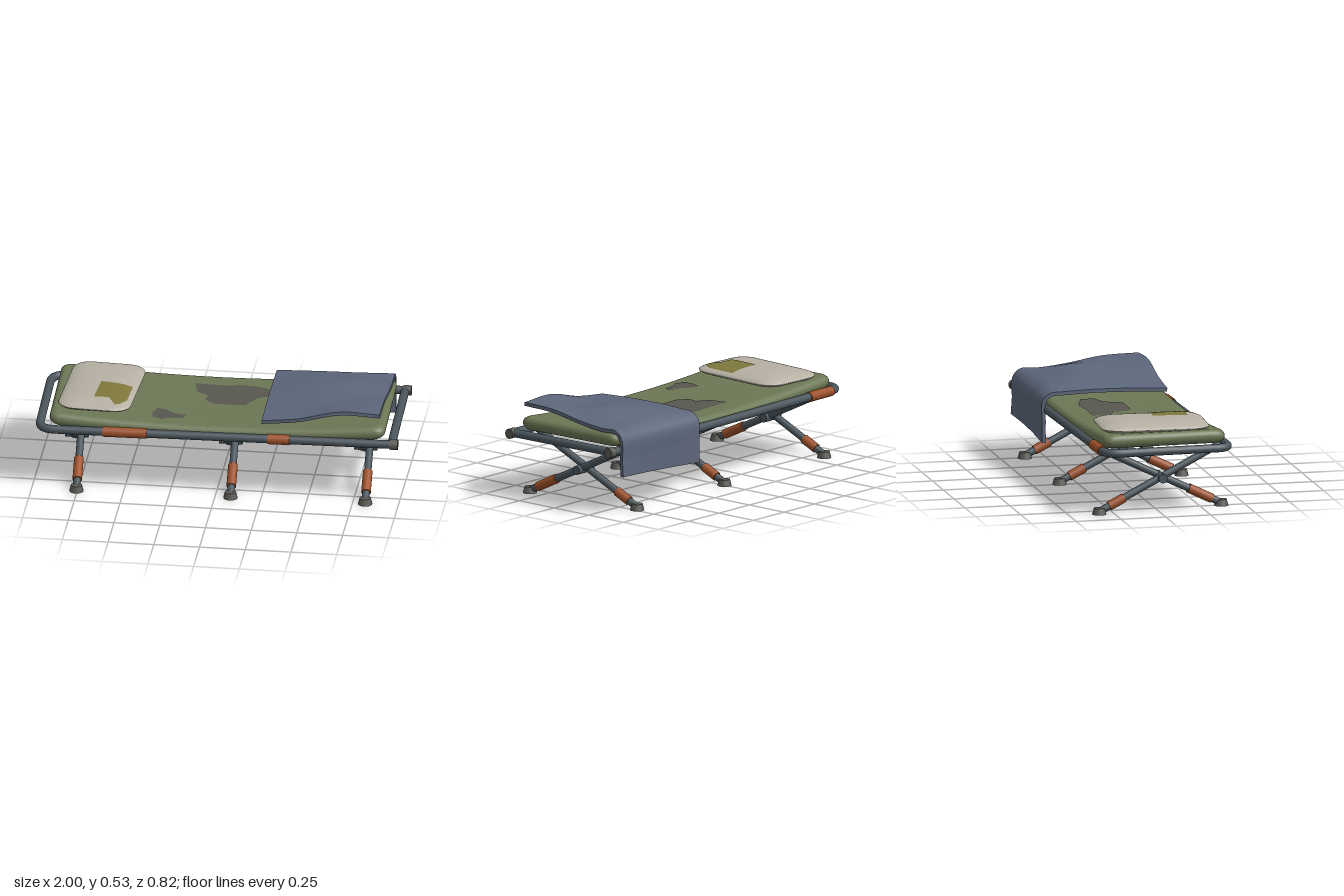
import * as THREE from 'three';
import { toCreasedNormals } from 'three/addons/utils/BufferGeometryUtils.js';

const V = (x, y, z) => new THREE.Vector3(x, y, z);
const paint = (color) => new THREE.MeshStandardMaterial({ color });
const STEEL = paint(0x4a555c), RUST = paint(0x9c5029), RUBBER = paint(0x5b5a54);
const CANVAS = paint(0x6c7755), LINEN = paint(0xb7b1a4), OLIVE = paint(0x7e783c);
const STAIN = paint(0x58574f), WOOL = paint(0x5d677b);

function add(parent, name, geometry, material) {
  const mesh = new THREE.Mesh(geometry, material);
  mesh.name = name;
  parent.add(mesh);
  return mesh;
}

// Round bar between two points
function rod(parent, name, a, b, radius, material) {
  const mesh = add(parent, name, new THREE.CylinderGeometry(radius, radius, a.distanceTo(b), 18), material);
  mesh.position.copy(a).lerp(b, 0.5);
  mesh.quaternion.setFromUnitVectors(V(0, 1, 0), b.clone().sub(a).normalize());
  return mesh;
}

// Skin over a row of closed loops with equal point counts
function loft(rings) {
  const n = rings[0].length, index = [];
  for (let j = 0; j < rings.length - 1; j++) {
    for (let i = 0; i < n; i++) {
      const a = j * n + i, b = j * n + (i + 1) % n;
      index.push(a, b, a + n, b, b + n, a + n);
    }
  }
  const g = new THREE.BufferGeometry().setFromPoints(rings.flat());
  g.setIndex(index);
  return g;
}

// Rounded rectangle outline in x/z with subdivided sides
function outline(a, b, c) {
  const pts = [], corners = [[1, -1], [-1, -1], [-1, 1], [1, 1]];
  corners.forEach(([sx, sz], k) => {
    for (let i = 0; i <= 6; i++) {
      const t = (k + i / 6) * Math.PI / 2;
      pts.push([sx * (a - c) + c * Math.cos(t), sz * (b - c) - c * Math.sin(t)]);
    }
    const p = pts[pts.length - 1], [nx, nz] = corners[(k + 1) % 4], t = (k + 1) * Math.PI / 2;
    const q = [nx * (a - c) + c * Math.cos(t), nz * (b - c) - c * Math.sin(t)];
    for (let i = 1; i < 20; i++) pts.push([p[0] + (q[0] - p[0]) * i / 20, p[1] + (q[1] - p[1]) * i / 20]);
  });
  return pts;
}

// Stuffed body: profile lists [inset, y] from the bottom to the top
function cushion(a, b, c, profile, lift = () => 0) {
  const base = outline(a, b, c);
  const g = loft(profile.map(([inset, y]) => base.map(([x, z]) => {
    const px = x * (a - inset) / a;
    return V(px, y + lift(px), z * (b - inset) / b);
  })));
  g.computeVertexNormals();
  return g;
}

// Thin star-shaped patch laid onto a surface
function patch(parent, name, points, target, material) {
  const ray = new THREE.Raycaster(), down = V(0, -1, 0);
  const cx = points.reduce((s, p) => s + p[0], 0) / points.length;
  const cz = points.reduce((s, p) => s + p[1], 0) / points.length;
  const edge = [];
  points.forEach((p, i) => {
    const q = points[(i + 1) % points.length];
    for (let k = 0; k < 4; k++) edge.push([p[0] + (q[0] - p[0]) * k / 4, p[1] + (q[1] - p[1]) * k / 4]);
  });
  const rings = [1, 0.8, 0.6, 0.4, 0.2, 0].map((s) => edge.map(([x, z]) => {
    const px = cx + (x - cx) * s, pz = cz + (z - cz) * s;
    ray.set(V(px, 2, pz), down);
    const hit = ray.intersectObject(target)[0];
    return V(px, (hit ? hit.point.y : 0.42) + 0.003, pz);
  }));
  const g = loft(rings);
  g.computeVertexNormals();
  const m = material.clone();
  m.side = THREE.DoubleSide;
  add(parent, name, g, m);
}

function buildFrame(frame) {
  const Y = 0.36, Z = 0.35, L = -0.97, R = 0.09, E = 0.97;
  // Bent rail running along both sides and round the head end
  const path = new THREE.CurvePath();
  path.add(new THREE.LineCurve3(V(E, Y, Z), V(L + R, Y, Z)));
  path.add(new THREE.QuadraticBezierCurve3(V(L + R, Y, Z), V(L, Y, Z), V(L, Y, Z - R)));
  path.add(new THREE.LineCurve3(V(L, Y, Z - R), V(L, Y, R - Z)));
  path.add(new THREE.QuadraticBezierCurve3(V(L, Y, R - Z), V(L, Y, -Z), V(L + R, Y, -Z)));
  path.add(new THREE.LineCurve3(V(L + R, Y, -Z), V(E, Y, -Z)));
  add(frame, 'rail', new THREE.TubeGeometry(path, 260, 0.023, 16), STEEL);
  rod(frame, 'footBar', V(0.955, Y, -Z), V(0.955, Y, Z), 0.023, STEEL);
  for (const s of [-1, 1]) rod(frame, 'railCap', V(0.945, Y, s * Z), V(0.99, Y, s * Z), 0.028, RUBBER);

  // Rusty sleeves on the rails
  for (const [x0, x1, s] of [[-0.62, -0.38, 1], [0.28, 0.4, 1], [-0.89, -0.7, -1], [0.4, 0.56, -1], [0.7, 0.89, -1]]) {
    rod(frame, 'railSleeve', V(x0, Y, s * Z), V(x1, Y, s * Z), 0.028, RUST);
  }

  // Three crossed leg pairs
  for (const x of [-0.797, 0.043, 0.778]) {
    const cross = new THREE.Group();
    cross.name = 'crossedLegs';
    frame.add(cross);
    for (const s of [-1, 1]) {
      const foot = V(x + s * 0.034, 0.018, s * 0.345), top = V(x + s * 0.01, Y, -s * Z);
      const along = (t) => foot.clone().lerp(top, t);
      rod(cross, 'leg', foot, top, 0.02, STEEL);
      rod(cross, 'legSleeve', along(0.07), along(s > 0 ? 0.26 : 0.19), 0.026, RUST);
      add(cross, 'foot', new THREE.CylinderGeometry(0.03, 0.039, 0.035, 20), RUBBER)
        .position.set(foot.x, 0.0175, s * 0.351);
    }
    rod(cross, 'pivotPin', V(x - 0.063, 0.183, 0), V(x + 0.063, 0.183, 0), 0.025, STEEL);
  }
}

// Thick blanket: side profiles [z, y] at four x stations, blended between
function blanketGeometry() {
  const stations = [
    [0.25, [[0.31, 0.452], [0.1, 0.462], [-0.1, 0.465], [-0.25, 0.46], [-0.345, 0.452], [-0.386, 0.41], [-0.388, 0.3], [-0.388, 0.18]]],
    [0.45, [[0.31, 0.475], [0.1, 0.485], [-0.1, 0.5], [-0.25, 0.485], [-0.345, 0.458], [-0.388, 0.41], [-0.388, 0.3], [-0.386, 0.192]]],
    [0.68, [[0.308, 0.528], [0.1, 0.505], [-0.1, 0.518], [-0.25, 0.488], [-0.35, 0.46], [-0.393, 0.41], [-0.393, 0.3], [-0.392, 0.205]]],
    [0.895, [[0.305, 0.522], [0.1, 0.515], [-0.1, 0.482], [-0.25, 0.466], [-0.358, 0.464], [-0.398, 0.42], [-0.402, 0.3], [-0.408, 0.217]]],
  ];
  const n = 48, m = 30;
  const rows = stations.map(([x, p]) => new THREE.CatmullRomCurve3(p.map(([z, y]) => V(x, y, z))).getPoints(n));
  const lines = rows[0].map((_, i) => new THREE.CatmullRomCurve3(rows.map((r) => r[i])).getPoints(m));
  const section = (j, thick) => {
    const top = lines.map((l) => l[j]);
    const under = top.map((p, i) => {
      const d = top[Math.min(i + 1, n)].clone().sub(top[Math.max(i - 1, 0)]);
      const len = Math.hypot(d.y, d.z);
      return V(p.x, p.y + thick * d.z / len, p.z - thick * d.y / len);
    });
    return [...top, ...under.reverse()];
  };
  const rings = [section(m, 0)];
  for (let j = m; j >= 0; j--) rings.push(section(j, 0.02));
  rings.push(section(0, 0));
  return toCreasedNormals(loft(rings), 0.8);
}

export function createModel() {
  const root = new THREE.Group();
  root.name = 'campBed';

  // Frame and mattress stand slightly askew
  const bed = new THREE.Group();
  bed.name = 'bed';
  bed.rotation.y = 0.0225;
  root.add(bed);
  buildFrame(bed);

  // Mattress with rounded edges, sagging in the middle
  const edge = [];
  for (let i = 0; i <= 12; i++) {
    const t = -Math.PI / 2 + Math.PI * i / 12;
    edge.push([0.035 * (1 - Math.cos(t)), 0.4125 + 0.0375 * Math.sin(t)]);
  }
  const inner = [0.342, 0.25, 0.15, 0.08];
  const profile = [...inner.map((d) => [d, 0.375]), ...edge, ...inner.slice().reverse().map((d) => [d, 0.45])];
  const sag = (x) => -0.045 * (1 - (x / 0.915) ** 2);
  const mattress = add(bed, 'mattress', cushion(0.915, 0.342, 0.05, profile, sag), CANVAS);

  // Pillow
  const puff = [];
  for (let i = 0; i <= 28; i++) {
    const t = -Math.PI / 2 + Math.PI * i / 28, r = Math.cos(t);
    puff.push([0.2 * (1 - r), 0.456 + Math.sign(t) * 0.036 * Math.max(0, 1 - r ** 2.6) ** 0.6]);
  }
  const pillow = add(root, 'pillow', cushion(0.2, 0.298, 0.09, puff), LINEN);
  pillow.position.set(-0.663, 0, 0);
  pillow.rotation.y = -0.055;

  // Patch and stains follow the surfaces beneath them
  root.updateMatrixWorld(true);
  patch(root, 'pillowPatch', [[-0.665, 0.01], [-0.49, 0.025], [-0.5, 0.2], [-0.53, 0.25], [-0.56, 0.265], [-0.6, 0.2], [-0.68, 0.2]], pillow, OLIVE);
  patch(root, 'largeStain', [[-0.18, -0.21], [-0.02, -0.205], [0.08, -0.22], [0.17, -0.205], [0.26, -0.17], [0.26, -0.095],
    [0.18, -0.065], [0.125, 0.035], [-0.05, 0.035], [-0.1, -0.01], [-0.09, -0.065], [-0.155, -0.105]], mattress, STAIN);
  patch(root, 'smallStain', [[-0.34, 0.14], [-0.29, 0.15], [-0.245, 0.19], [-0.175, 0.2], [-0.19, 0.245], [-0.26, 0.25],
    [-0.3, 0.275], [-0.355, 0.255], [-0.36, 0.2]], mattress, STAIN);

  // Blanket thrown over the foot end, hanging down at the back
  add(root, 'blanket', blanketGeometry(), WOOL);
  return root;
}
